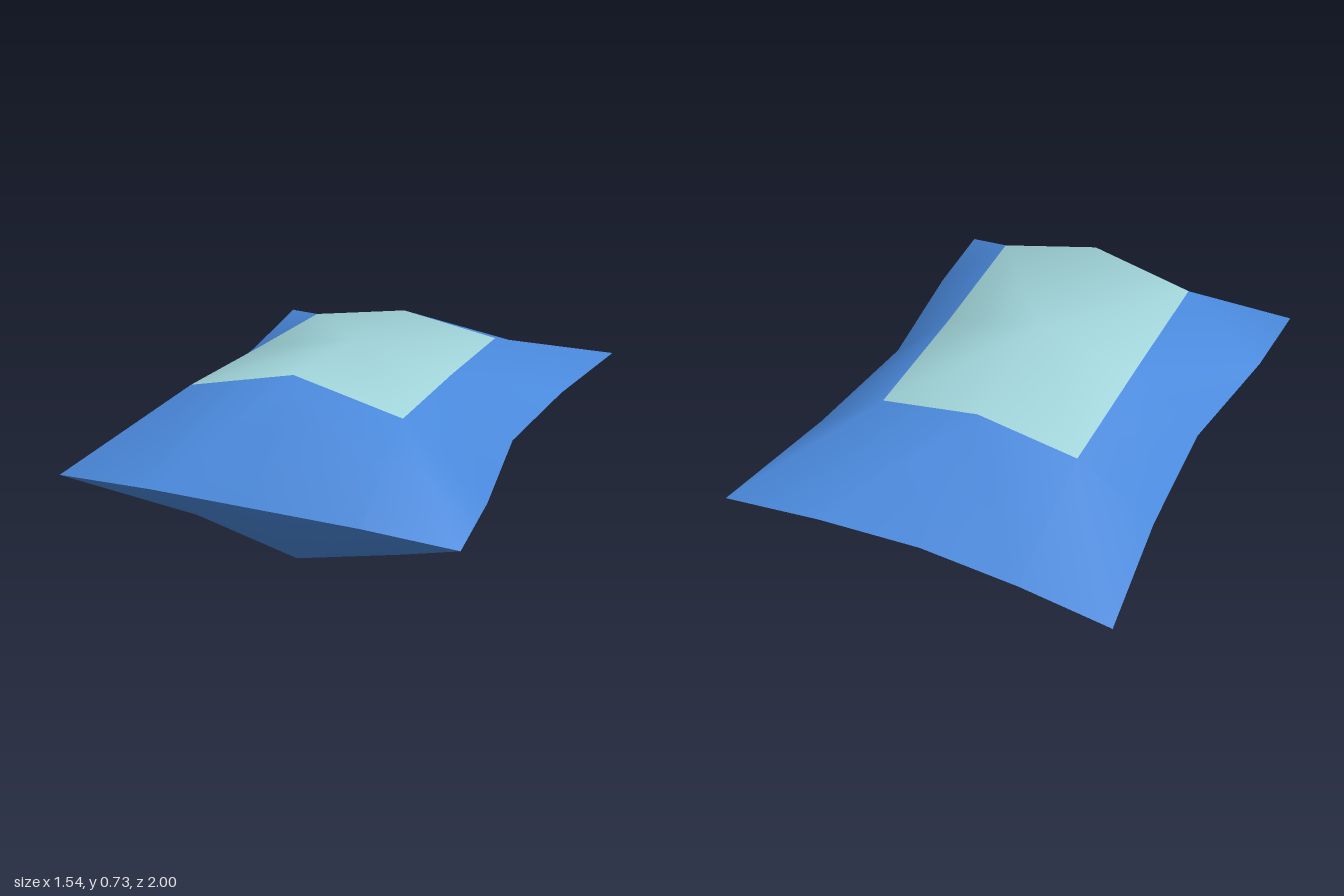
import * as THREE from 'three';

const SEAM = 0.365;

// Rows from back to front; each point is [x, height above the seam, z].
const ROWS = [
  [[-0.77, 0, -1], [-0.4, 0, -0.955], [0, 0, -0.93], [0.4, 0, -0.955], [0.77, 0, -1]],
  [[-0.705, 0, -0.46], [-0.4, 0.197, -0.46], [0, 0.265, -0.46], [0.4, 0.197, -0.46], [0.69, 0, -0.46]],
  [[-0.675, 0, 0.08], [-0.405, 0.23, 0.08], [0, 0.315, 0.08], [0.4, 0.23, 0.08], [0.65, 0, 0.08]],
  [[-0.745, 0, 0.63], [-0.415, 0.265, 0.63], [0, 0.365, 0.63], [0.415, 0.265, 0.63], [0.73, 0, 0.63]],
  [[-0.76, 0, 1], [-0.4, 0, 0.98], [0, 0, 0.98], [0.4, 0, 0.98], [0.76, 0, 1]],
];

// One half of the cushion: side is 1 for the top, -1 for the underside.
function halfShell(side) {
  const positions = ROWS.flat().flatMap(([x, h, z]) => [x, SEAM + side * h, z]);
  const border = [], panel = [];
  for (let r = 0; r < 4; r++) {
    for (let c = 0; c < 4; c++) {
      const a = r * 5 + c, b = a + 1, d = a + 5, e = a + 6;
      // Diagonals radiate from the middle towards the corners.
      const falling = (r < 2) === (c < 2);
      const tris = falling ? [[a, d, e], [a, e, b]] : [[a, d, b], [b, d, e]];
      const inner = r > 0 && r < 3 && c > 0 && c < 3;
      for (const [i, j, k] of tris) {
        (inner ? panel : border).push(...(side > 0 ? [i, j, k] : [i, k, j]));
      }
    }
  }
  const geometry = new THREE.BufferGeometry();
  geometry.setAttribute('position', new THREE.Float32BufferAttribute(positions, 3));
  geometry.setIndex([...border, ...panel]);
  geometry.addGroup(0, border.length, 0);
  geometry.addGroup(border.length, panel.length, 1);
  geometry.computeVertexNormals();
  return geometry;
}

export function createModel() {
  const blue = new THREE.MeshStandardMaterial({ color: 0x4a89dc });
  blue.name = 'blue fabric';
  const teal = new THREE.MeshStandardMaterial({ color: 0xa0d4d9 });
  teal.name = 'pale teal fabric';

  const group = new THREE.Group();
  group.name = 'pillow';
  // Separate halves keep the seam sharp; the panels share smooth normals with the border.
  for (const [name, side] of [['pillowTop', 1], ['pillowUnderside', -1]]) {
    const mesh = new THREE.Mesh(halfShell(side), [blue, teal]);
    mesh.name = name;
    group.add(mesh);
  }
  return group;
}
